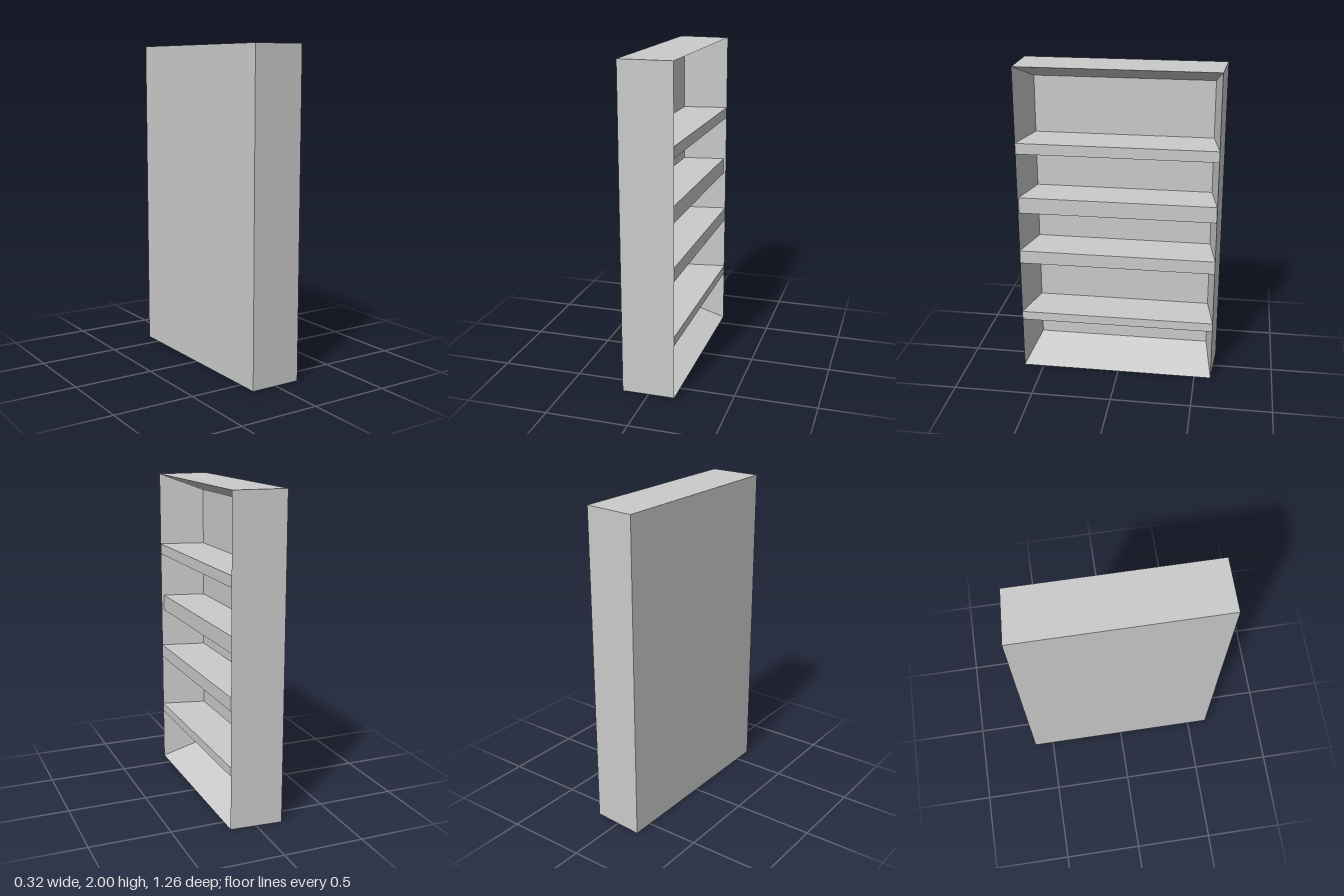
import * as THREE from 'three';

const material = new THREE.MeshStandardMaterial({ color: 0xcccccc, flatShading: true });

const BACK = -0.163, INNER = -0.121, RIM = 0.162;

// Rectangular loop at depth x, counter-clockwise as seen from the open side (+x)
const loop = (x, zA, zB, y0, y1) => [[x, y0, zA], [x, y0, zB], [x, y1, zB], [x, y1, zA]];

// Case: outer back, knife-edge rim, then inner back, skinned in sequence and capped
function caseGeometry() {
  const loops = [
    loop(BACK, 0.628, -0.628, 0, 2),
    loop(RIM, 0.628, -0.606, 0, 2),
    loop(INNER, 0.563, -0.56, 0.11, 1.892),
  ];
  const pos = [];
  const quad = (a, b, c, d) => pos.push(...a, ...b, ...c, ...a, ...c, ...d);
  for (let k = 0; k < 2; k++) {
    for (let i = 0; i < 4; i++) {
      const j = (i + 1) % 4;
      quad(loops[k][i], loops[k][j], loops[k + 1][j], loops[k + 1][i]);
    }
  }
  quad(...[...loops[0]].reverse());
  quad(...loops[2]);
  const g = new THREE.BufferGeometry();
  g.setAttribute('position', new THREE.Float32BufferAttribute(pos, 3));
  g.computeVertexNormals();
  return g;
}

// Shelf: trapezoid that follows the tapering side walls, extruded upward
function shelfGeometry(y0, y1, front) {
  const t = (front - INNER) / (RIM - INNER);
  const zA = THREE.MathUtils.lerp(0.563, 0.628, t);
  const zB = THREE.MathUtils.lerp(-0.56, -0.606, t);
  const shape = new THREE.Shape([
    new THREE.Vector2(INNER, -0.563),
    new THREE.Vector2(front, -zA),
    new THREE.Vector2(front, -zB),
    new THREE.Vector2(INNER, 0.56),
  ]);
  const g = new THREE.ExtrudeGeometry(shape, { depth: y1 - y0, bevelEnabled: false });
  return g.rotateX(-Math.PI / 2).translate(0, y0, 0);
}

export function createModel() {
  const group = new THREE.Group();
  group.name = 'bookcase';
  const add = (name, geometry) => {
    const mesh = new THREE.Mesh(geometry, material);
    mesh.name = name;
    group.add(mesh);
  };

  add('case', caseGeometry());

  // Four shelves: bottom, top, front edge
  [
    [0.34, 0.396, RIM],
    [0.742, 0.826, RIM],
    [1.077, 1.179, RIM - 0.015],
    [1.466, 1.534, RIM],
  ].forEach(([y0, y1, front], i) => add(`shelf${i + 1}`, shelfGeometry(y0, y1, front)));

  return group;
}
